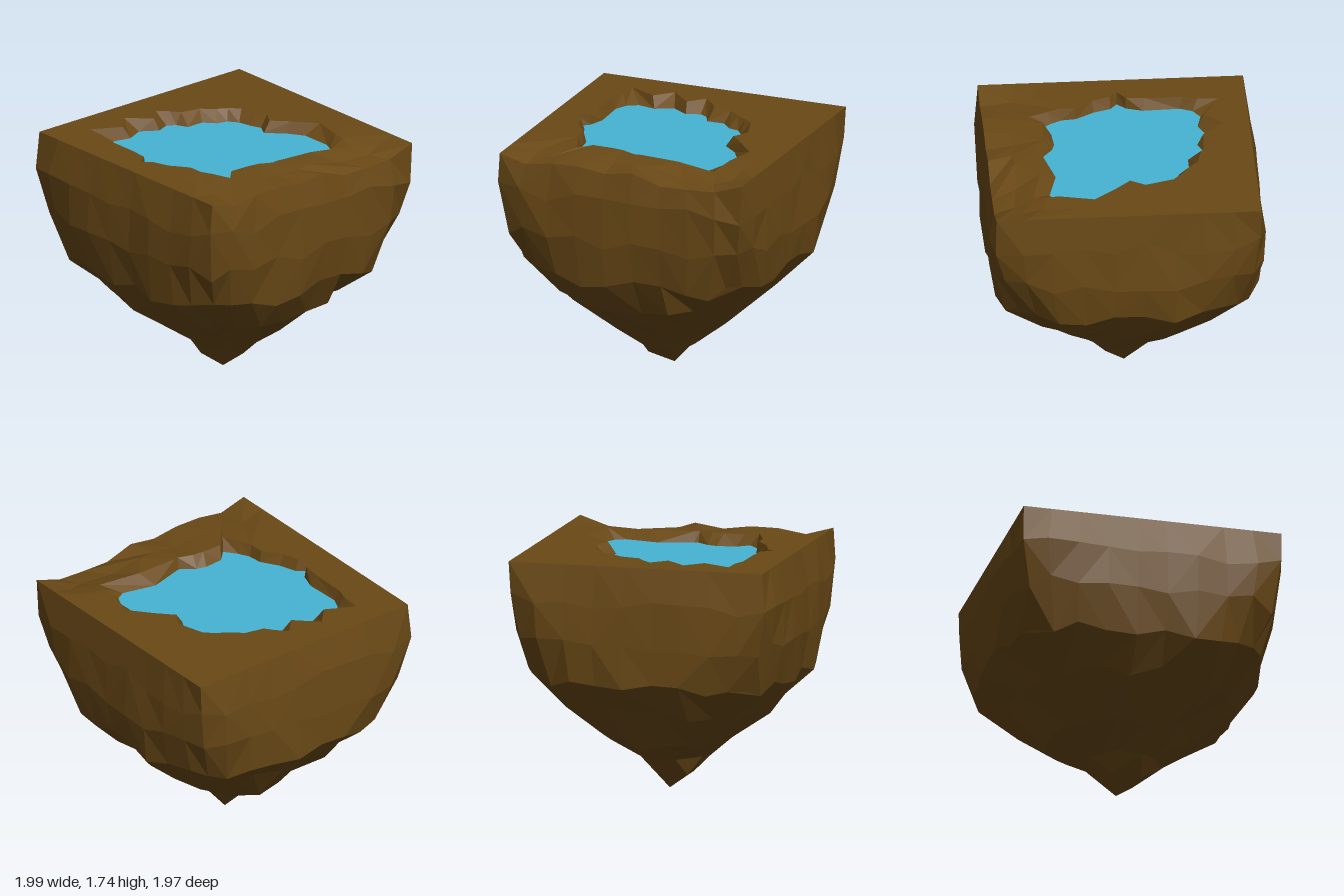
import * as THREE from 'three';

const SIDE = 9;              // segments along each side of the block
const WATER_Y = 1.66;

// Seeded value in 0..1 for a pair of numbers
const hash = (i, j) => {
  const s = Math.sin(i * 127.1 + j * 311.7 + 4.2) * 43758.5453;
  return s - Math.floor(s);
};

// Ground height: flat, with a notched edge along +x
const DIPS = [0, 0.06, 0.02, 0.02, 0.05, 0.01, 0.09, 0.08, 0.07, 0];
function groundY(x, z) {
  const t = THREE.MathUtils.clamp((0.9 - z) / 1.85, 0, 1) * SIDE;
  const k = Math.min(Math.floor(t), SIDE - 1);
  const dip = THREE.MathUtils.lerp(DIPS[k], DIPS[k + 1], t - k);
  return 1.74 - dip * THREE.MathUtils.smoothstep(x, 0.5, 0.9);
}

// Skin between closed rings of equal length, listed from top (or inside) outwards
function loft(rings) {
  const n = rings[0].length, index = [];
  for (let i = 0; i < rings.length - 1; i++) {
    for (let j = 0; j < n; j++) {
      const a = i * n + j, b = i * n + (j + 1) % n, c = a + n, d = b + n;
      if (hash(i + 9, j) > 0.5) index.push(a, c, b, b, c, d);
      else index.push(a, c, d, a, d, b);
    }
  }
  const g = new THREE.BufferGeometry().setFromPoints(rings.flat());
  g.setIndex(index);
  g.computeVertexNormals();
  return g;
}

// Square perimeter, counter-clockwise from above, starting at the (-x, +z) corner
function squareLoop() {
  const pts = [];
  for (let s = 0; s < 4; s++) {
    for (let k = 0; k < SIDE; k++) {
      const p = new THREE.Vector2(-1 + (2 * k) / SIDE, 1);
      for (let r = 0; r < s; r++) p.set(p.y, -p.x);
      pts.push(p);
    }
  }
  return pts;
}

// Height, reach to -x, +x, -z, +z, squareness, roughness
const SECTIONS = [
  [1.74, 0.93, 0.95, 0.95, 0.91, 60, 0],
  [1.48, 0.975, 0.985, 0.975, 0.97, 16, 0.02],
  [1.17, 0.99, 0.99, 0.985, 0.975, 6, 0.025],
  [0.86, 0.98, 0.95, 0.95, 0.93, 3.3, 0.05],
  [0.63, 0.76, 0.79, 0.74, 0.77, 2.6, 0.08],
  [0.4, 0.52, 0.53, 0.49, 0.44, 2.1, 0.1],
  [0.23, 0.25, 0.31, 0.26, 0.25, 1.8, 0.12],
  [0.11, 0.13, 0.18, 0.13, 0.18, 1.8, 0.1],
];
const WALLS = 4;             // sections used by the upright walls

// Point on the rock: q on the unit square outline, placed on section i
function rockPoint(q, i) {
  const [y, xn, xp, zn, zp, p, rough] = SECTIONS[i];
  const u = Math.round(q.x * 99), v = Math.round(q.y * 99) + i * 7;
  // superellipse: square at the top, rounder towards the tip
  const k = i ? Math.pow(Math.abs(q.x) ** p + Math.abs(q.y) ** p, -1 / p) : 1;
  const x = q.x * k * (q.x < 0 ? xn : xp) * (1 + rough * (0.45 - hash(u, v)));
  const z = q.y * k * (q.y < 0 ? zn : zp) * (1 + rough * (0.45 - hash(v, u)));
  const h = i ? y + (hash(u + 5, v) - 0.5) * Math.min(0.1, y * 0.3) : groundY(x, z);
  return new THREE.Vector3(x, h, z);
}

// Underside: a square grid whose concentric loops follow the lower sections
function underside() {
  const g = new THREE.PlaneGeometry(2, 2, SIDE, SIDE);
  const pos = g.attributes.position;
  for (let n = 0; n < pos.count; n++) {
    const q = new THREE.Vector2(pos.getX(n), pos.getY(n));
    const m = Math.max(Math.abs(q.x), Math.abs(q.y));
    const level = WALLS - 1 + Math.round((1 - m) * SIDE / 2);
    const isTip = m < 0.2 && q.x < 0 && q.y < 0;
    const p = isTip ? new THREE.Vector3(-0.02, 0, -0.02) : rockPoint(q.divideScalar(m), level);
    pos.setXYZ(n, p.x, p.y, p.z);
  }
  g.computeVertexNormals();
  return g;
}

// Shoreline as [x, z], counter-clockwise from the (-x, +z) corner, nine points a side
const SHORE = [
  [-0.55, 0.58], [-0.46, 0.62], [-0.2, 0.61], [-0.08, 0.65], [-0.02, 0.71],
  [0.03, 0.65], [0.15, 0.61], [0.28, 0.53], [0.38, 0.52],
  [0.46, 0.48], [0.55, 0.41], [0.47, 0.33], [0.46, 0.19], [0.48, 0.12],
  [0.55, 0.03], [0.55, 0], [0.48, -0.25], [0.54, -0.5],
  [0.5, -0.57], [0.43, -0.6], [0.2, -0.6], [0.07, -0.52], [-0.03, -0.41],
  [-0.12, -0.46], [-0.2, -0.43], [-0.3, -0.41], [-0.37, -0.36],
  [-0.39, -0.28], [-0.47, -0.21], [-0.47, -0.08], [-0.55, -0.04], [-0.59, 0.02],
  [-0.55, 0.12], [-0.63, 0.24], [-0.57, 0.37], [-0.6, 0.5],
];

export function createModel() {
  const group = new THREE.Group();
  const soil = new THREE.MeshStandardMaterial({ color: 0x6a4916, flatShading: true });
  const blue = new THREE.MeshStandardMaterial({ color: 0x46b4d5, flatShading: true });
  const add = (name, geometry, material) => {
    const mesh = new THREE.Mesh(geometry, material);
    mesh.name = name;
    group.add(mesh);
  };

  // Upright rock walls, then the underside tapering to a point
  const loop = squareLoop();
  const rings = SECTIONS.slice(0, WALLS).map((_, i) => loop.map((q) => rockPoint(q, i)));
  add('rockWalls', loft(rings), soil);
  add('rockUnderside', underside(), soil);

  // Jagged bank sloping down to the water
  const shore = SHORE.map(([x, z]) => new THREE.Vector3(x, WATER_Y, z));
  const onGround = (x, z) => new THREE.Vector3(x, groundY(x, z), z);
  const bank = shore.map((p, j) => {
    const s = p.z > 0.5 ? 1.02 + 0.05 * hash(j, 3) : 1.05 + 0.2 * hash(j, 3);
    return onGround(p.x * s, p.z * s);
  });
  add('pondBank', loft([shore, bank]), soil);

  // Ground from the bank out to the notched rim
  const middle = bank.map((p, j) => onGround((p.x + rings[0][j].x) / 2, (p.z + rings[0][j].z) / 2));
  add('ground', loft([bank, middle, rings[0]]), soil);

  // Water surface
  const outline = new THREE.Shape(SHORE.map(([x, z]) => new THREE.Vector2(x, -z)));
  const water = new THREE.ShapeGeometry(outline).rotateX(-Math.PI / 2);
  water.translate(0, WATER_Y, 0);
  add('water', water, blue);

  return group;
}
